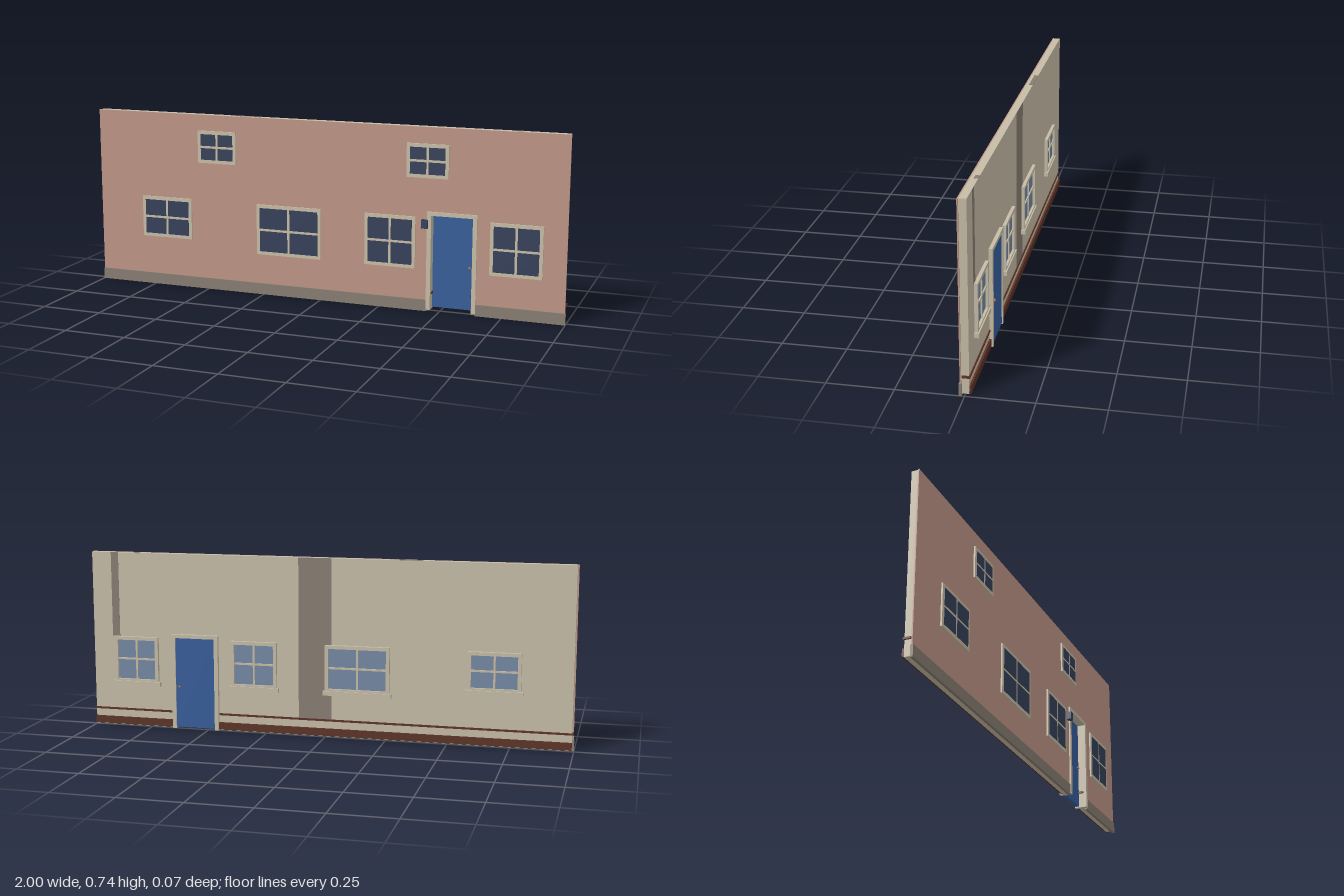
import * as THREE from 'three';

const mat = (name, color, side = THREE.FrontSide) => {
  const m = new THREE.MeshStandardMaterial({ color, side });
  m.name = name;
  return m;
};

export function createModel() {
  const brick = mat('pinkRender', 0xbd9585);
  const cream = mat('creamPlaster', 0xc6bca6);
  const grey = mat('stoneGrey', 0x877d71);
  const brown = mat('darkWood', 0x5c3224);
  const navy = mat('darkGlass', 0x343f58);
  const paleGlass = mat('paleGlass', 0x7387a3);
  const blue = mat('bluePaint', 0x365d9a);
  const copper = mat('copper', 0x9a6a4c);

  const model = new THREE.Group();
  model.name = 'houseFacade';

  // Box given by its limits on each axis
  const box = (name, m, x0, x1, y0, y1, z0, z1, parent = model) => {
    const mesh = new THREE.Mesh(new THREE.BoxGeometry(x1 - x0, y1 - y0, z1 - z0), m);
    mesh.position.set((x0 + x1) / 2, (y0 + y1) / 2, (z0 + z1) / 2);
    mesh.name = name;
    parent.add(mesh);
    return mesh;
  };

  // Upright slab with a door notch cut out of its foot
  const DOOR = { x0: 0.46, x1: 0.635, top: 0.39 };
  const H = 0.735, FOOT = 0.007;
  const wall = (name, m, half, z0, z1) => {
    const s = new THREE.Shape([
      [-half, FOOT], [DOOR.x0, FOOT], [DOOR.x0, DOOR.top], [DOOR.x1, DOOR.top],
      [DOOR.x1, FOOT], [half, FOOT], [half, H], [-half, H],
    ].map(([x, y]) => new THREE.Vector2(x, y)));
    const mesh = new THREE.Mesh(new THREE.ExtrudeGeometry(s, { depth: z1 - z0, bevelEnabled: false }), m);
    mesh.position.z = z0;
    mesh.name = name;
    model.add(mesh);
  };
  wall('outerWall', brick, 0.998, 0.012, 0.017);
  wall('innerWall', cream, 0.993, -0.016, 0.012);

  // Plinth outside, skirting and rail inside, all broken by the door
  for (const [a, b, side] of [[-1, 0.45, 'Right'], [0.645, 1, 'Left']]) {
    const inA = Math.max(a, -0.993), inB = Math.min(b, 0.993);
    box('plinth' + side, grey, a, b, 0, 0.046, 0.01, 0.021);
    box('skirting' + side, brown, inA, inB, 0.01, 0.04, -0.024, -0.0155);
    const railA = a < 0 ? -0.999 : 0.624, railB = a < 0 ? 0.468 : 0.999;
    box('wallRail' + side, brown, railA, railB, 0.07, 0.078, -0.02, 0.01);
  }

  // Grey bands on the inner face and the top edge
  box('wideBand', grey, -0.03, 0.107, 0.078, H, -0.0167, -0.015);
  box('narrowBand', grey, 0.878, 0.91, 0.385, H, -0.0167, -0.015);
  box('wideTopPatch', grey, -0.4, -0.265, H - 0.002, H + 0.0006, -0.016, 0);
  box('narrowTopPatch', grey, 0.78, 0.81, H - 0.002, H + 0.0006, -0.016, 0);

  // Outer window: frame block with four dark panes
  const outerWindow = (x0, x1, y0, y1) => {
    const g = new THREE.Group();
    g.name = 'outerWindow';
    model.add(g);
    box('frame', cream, x0, x1, y0, y1, 0.016, 0.0235, g);
    const e = 0.014, b = 0.005, cx = (x0 + x1) / 2, cy = (y0 + y1) / 2;
    for (const [a, c] of [[x0 + e, cx - b], [cx + b, x1 - e]])
      for (const [d, f] of [[y0 + e, cy - b], [cy + b, y1 - e]])
        box('pane', navy, a, c, d, f, 0.0225, 0.025, g);
  };

  // Inner window: raised frame, recessed glass, glazing bars and sill
  const innerWindow = (x0, x1, y0, y1) => {
    const g = new THREE.Group();
    g.name = 'innerWindow';
    model.add(g);
    const a = x0 + 0.008, b = x1 - 0.008, e = 0.014;
    const cx = (a + b) / 2, cy = (y0 + y1) / 2, zb = -0.029, zf = -0.0155;
    box('frameSide', cream, a, a + e, y0, y1, zb, zf, g);
    box('frameSide', cream, b - e, b, y0, y1, zb, zf, g);
    box('frameTop', cream, a + e, b - e, y1 - e, y1, zb, zf, g);
    box('frameBottom', cream, a + e, b - e, y0, y0 + e * 0.6, zb, zf, g);
    box('glass', paleGlass, a + e, b - e, y0 + e * 0.6, y1 - e, -0.019, zf, g);
    box('uprightBar', cream, cx - 0.004, cx + 0.004, y0 + e * 0.6, y1 - e, -0.024, -0.018, g);
    box('crossBar', cream, a + e, b - e, cy - 0.004, cy + 0.004, -0.0238, -0.018, g);
    box('sill', cream, x0, x1, y0 - 0.018, y0, -0.034, zf, g);
  };

  // x limits, foot of the outer frame, foot of the inner frame
  for (const [x0, x1, y0, yi] of [
    [-0.8, -0.573, 0.207, 0.232], [-0.277, 0.003, 0.17, 0.198],
    [0.19, 0.4, 0.17, 0.198], [0.7, 0.907, 0.17, 0.198],
  ]) {
    outerWindow(x0, x1, y0, 0.379);
    innerWindow(x0, x1, yi, 0.385);
  }
  for (const x of [-0.453, 0.446]) outerWindow(x - 0.085, x + 0.085, 0.536, 0.67);

  // Door and its surround
  const door = new THREE.Group();
  door.name = 'door';
  model.add(door);
  box('doorJamb', cream, 0.447, 0.464, FOOT, 0.403, -0.03, 0.0235, door);
  box('doorJamb', cream, 0.631, 0.648, FOOT, 0.403, -0.03, 0.0235, door);
  box('doorHead', cream, 0.464, 0.631, 0.388, 0.403, -0.03, 0.0235, door);
  box('doorLeaf', blue, 0.464, 0.631, 0.012, 0.388, -0.026, -0.011, door);
  for (const z of [-0.03, -0.007]) {
    const knob = new THREE.Mesh(new THREE.SphereGeometry(0.006, 12, 8), copper);
    knob.position.set(0.615, 0.183, z);
    knob.name = 'doorKnob';
    door.add(knob);
  }

  // Small box beside the door
  box('wallLamp', navy, 0.426, 0.452, 0.337, 0.371, 0.0165, 0.035);

  return model;
}
